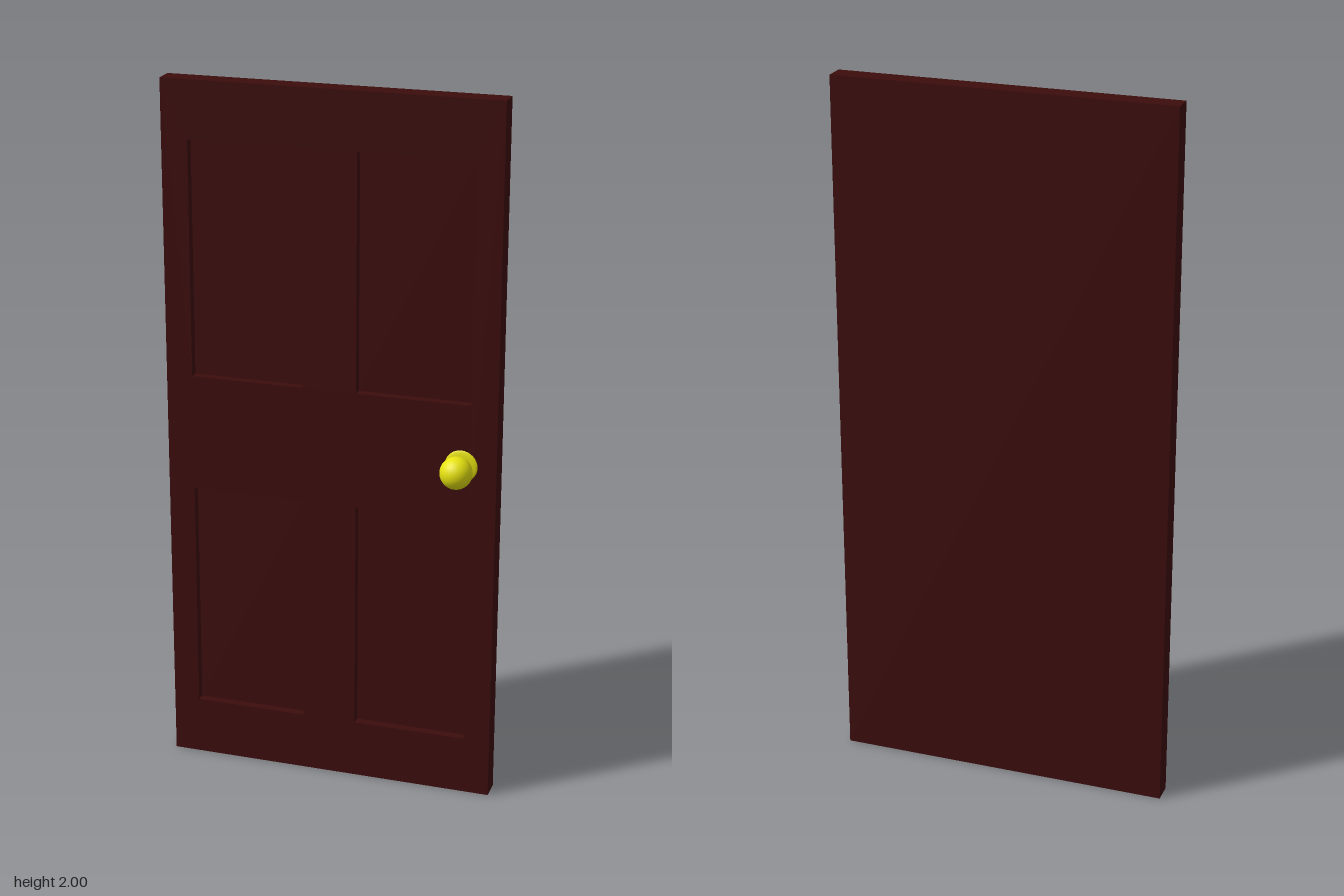
import * as THREE from 'three';

const W = 0.95, H = 2, BACK = -0.08, FRONT = -0.02, RECESS = 0.025;

const wood = new THREE.MeshStandardMaterial({ color: 0x3d0d0d });
wood.name = 'dark red wood';
const brass = new THREE.MeshStandardMaterial({ color: 0xe6e210 });
brass.name = 'yellow brass';

function addMesh(parent, name, geometry, material, x = 0, y = 0, z = 0) {
  const mesh = new THREE.Mesh(geometry, material);
  mesh.name = name;
  mesh.position.set(x, y, z);
  parent.add(mesh);
  return mesh;
}

// Rectangle path from its corner limits
function rectangle(path, x0, y0, x1, y1) {
  path.moveTo(x0, y0);
  path.lineTo(x1, y0);
  path.lineTo(x1, y1);
  path.lineTo(x0, y1);
  path.closePath();
  return path;
}

export function createModel() {
  const door = new THREE.Group();
  door.name = 'door';

  // Solid slab behind, which is also the floor of the sunken panels
  const slabDepth = FRONT - BACK - RECESS;
  addMesh(door, 'backSlab', new THREE.BoxGeometry(W, H, slabDepth), wood,
    0, H / 2, BACK + slabDepth / 2);

  // Front frame with four panel openings
  const frame = rectangle(new THREE.Shape(), -W / 2, 0, W / 2, H);
  for (const [y0, y1] of [[0.168, 0.835], [1.168, 1.837]]) {
    for (const [x0, x1] of [[-0.4, -0.077], [0.077, 0.4]]) {
      frame.holes.push(rectangle(new THREE.Path(), x0, y0, x1, y1));
    }
  }
  addMesh(door, 'panelFrame',
    new THREE.ExtrudeGeometry(frame, { depth: RECESS, bevelEnabled: false }),
    wood, 0, 0, FRONT - RECESS);

  // Round knob in front of a shallow domed rose
  const knob = new THREE.Group();
  knob.name = 'doorKnob';
  knob.position.set(0.376, 0.992, 0);
  door.add(knob);
  addMesh(knob, 'knobBall', new THREE.SphereGeometry(0.045, 32, 24), brass, 0, 0, 0.033);
  const rose = addMesh(knob, 'knobRose', new THREE.SphereGeometry(0.046, 32, 16), brass, 0, 0, FRONT);
  rose.scale.z = 0.16;

  return door;
}
